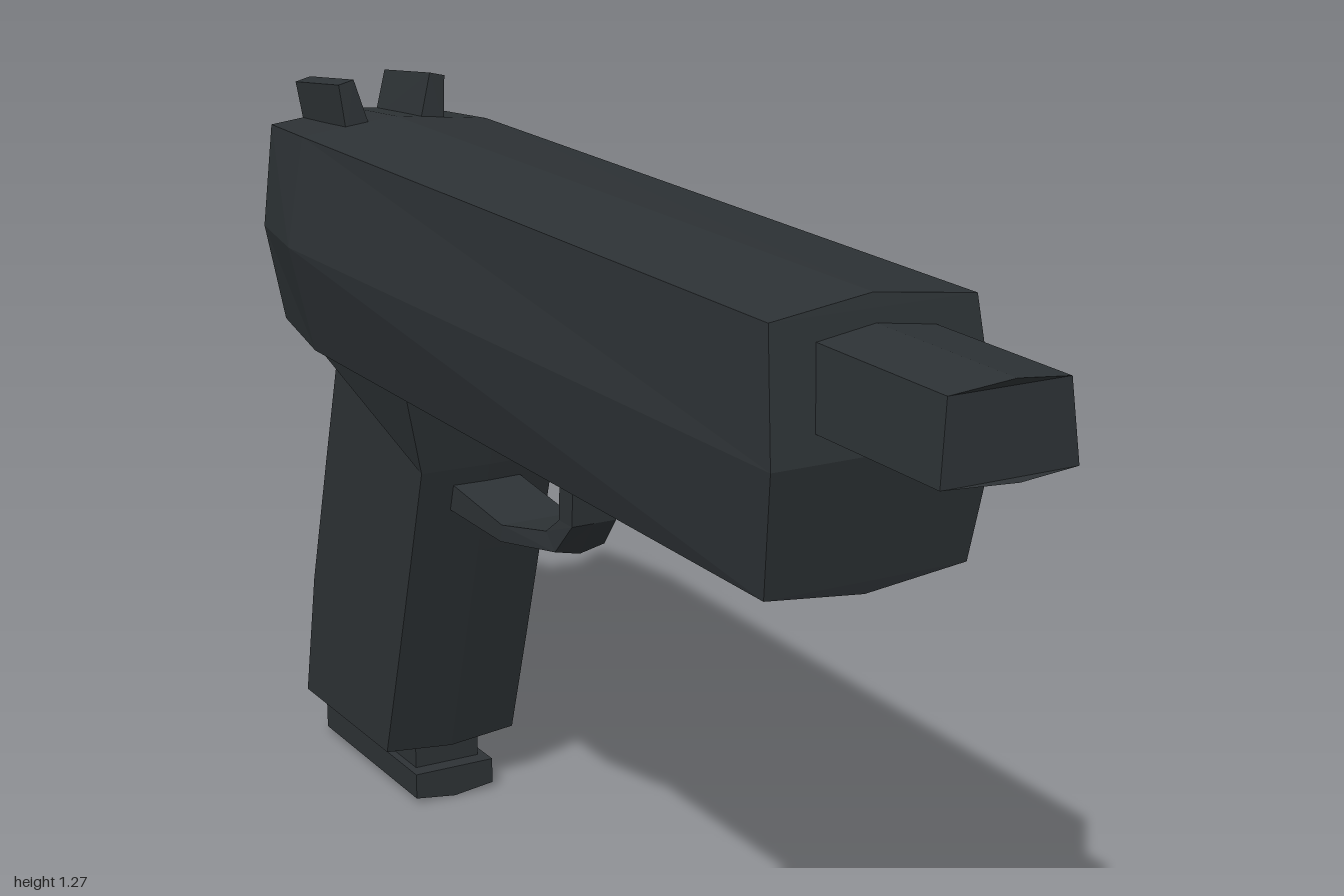
import * as THREE from 'three';

const material = new THREE.MeshStandardMaterial({ color: 0x2d3235, flatShading: true, roughness: 0.8 });

// Full ring from its +x half, listed from centre line to centre line
const mirror = (half) => half.concat(
  half.filter((p) => p[0] > 0).reverse().map(([x, y, z]) => [-x, y, z]));

// Skin a list of equal rings and close both ends with strips across the ring
function loft(name, rings) {
  const n = rings[0].length;
  const tris = [];
  const quad = (a, b, c, d) => tris.push([a, b, c], [a, c, d]);
  for (let r = 0; r < rings.length - 1; r++) {
    for (let i = 0; i < n; i++) {
      const j = (i + 1) % n;
      quad(rings[r][i], rings[r][j], rings[r + 1][j], rings[r + 1][i]);
    }
  }
  const cap = (ring, flip) => {
    for (let i = 0; i < n / 2; i++) {
      const c = [ring[i], ring[i + 1], ring[n - i - 1], ring[(n - i) % n]];
      if (flip) c.reverse();
      quad(...c);
    }
  };
  cap(rings[0], true);
  cap(rings[rings.length - 1], false);

  // Make the faces point outwards, and drop collapsed ones
  const v = (p) => new THREE.Vector3(...p);
  const o = v(rings[0][0]);
  let volume = 0;
  const kept = tris.filter(([a, b, c]) => {
    const A = v(a).sub(o), B = v(b).sub(o), C = v(c).sub(o);
    volume += A.dot(B.clone().cross(C));
    return B.sub(A).cross(C.sub(A)).length() > 1e-9;
  });
  if (volume < 0) kept.forEach((t) => t.reverse());

  const geometry = new THREE.BufferGeometry();
  geometry.setAttribute('position', new THREE.Float32BufferAttribute(kept.flat(2), 3));
  geometry.computeVertexNormals();
  const mesh = new THREE.Mesh(geometry, material);
  mesh.name = name;
  return mesh;
}

export function createModel() {
  const group = new THREE.Group();
  group.name = 'pistol';

  // Faceted slide, widest near the rear, with a sunken rear panel
  const rear = [[0, 1.19, -0.98], [0.155, 1.175, -0.97], [0.18, 1, -0.96], [0.15, 0.83, -0.95], [0, 0.815, -0.96]];
  const inset = (dz) => rear.map(([x, y, z]) => [x * 0.8, 1.01 + (y - 1.01) * 0.8, z + dz]);
  group.add(loft('slide', [
    [[0, 1.21, 0.67], [0.165, 1.19, 0.675], [0.18, 1, 0.71], [0.165, 0.81, 0.675], [0, 0.79, 0.67]],
    [[0, 1.205, -0.79], [0.175, 1.185, -0.79], [0.212, 1, -0.78], [0.165, 0.81, -0.79], [0, 0.79, -0.79]],
    rear, inset(0), inset(0.025),
  ].map(mirror)));

  // Barrel
  group.add(loft('barrel', [
    [[0, 1.17, 0.6], [0.095, 1.157, 0.6], [0.107, 1.04, 0.6], [0, 1.04, 0.6]],
    [[0, 1.17, 0.985], [0.095, 1.157, 0.972], [0.107, 1.04, 0.98], [0, 1.04, 1]],
  ].map(mirror)));

  // Pair of outward-leaning rear sights
  for (const s of [1, -1]) {
    group.add(loft(s > 0 ? 'leftSight' : 'rightSight', [
      [[s * 0.045, 1.18, -0.79], [s * 0.092, 1.18, -0.79], [s * 0.1, 1.265, -0.8], [s * 0.072, 1.272, -0.8]],
      [[s * 0.045, 1.17, -0.972], [s * 0.092, 1.17, -0.972], [s * 0.1, 1.243, -0.985], [s * 0.072, 1.25, -0.985]],
    ]));
  }

  // Raked grip, flaring into the slide along a diagonal; rows: front y, z, back y, z, half width
  group.add(loft('grip', [
    [0.82, -0.425, 0.82, -0.78, 0.165],
    [0.67, -0.455, 0.785, -0.79, 0.125],
    [0.5, -0.505, 0.6, -0.847, 0.125],
    [0.3, -0.565, 0.34, -0.925, 0.125],
    [0.105, -0.625, 0.105, -0.975, 0.125],
  ].map(([fy, fz, by, bz, w], i) => {
    const drop = i === 4 ? 0.01 : 0;
    return mirror([[0, fy - drop, fz + 0.005], [w, fy, fz], [w, by, bz], [0, by - drop, bz - 0.005]]);
  })));

  // Magazine neck and base plate, slightly keeled underneath
  const slab = (name, w, frontZ, backZ, bottom, top, keel) => loft(name, [frontZ, backZ].map((z) =>
    mirror([[0, top, z], [w, top, z], [w, bottom, z], [0, bottom - keel, z]])));
  group.add(slab('magazineNeck', 0.062, -0.64, -0.962, 0.04, 0.12, 0));
  group.add(slab('magazineBase', 0.076, -0.61, -1, 0.01, 0.056, 0.01));

  // Trigger guard strip; rows: outer y, z, inner y, z, half width
  group.add(loft('triggerGuard', [
    [0.82, -0.08, 0.82, -0.125, 0.04],
    [0.67, -0.087, 0.67, -0.13, 0.04],
    [0.615, -0.135, 0.642, -0.165, 0.045],
    [0.59, -0.29, 0.62, -0.285, 0.063],
    [0.592, -0.52, 0.645, -0.52, 0.063],
  ].map(([oy, oz, iy, iz, w], i) => {
    const keel = i > 1 ? 0.01 : 0;
    return mirror([[0, iy, iz], [w, iy, iz], [w, oy, oz], [0, oy - keel, oz]]);
  })));

  return group;
}
